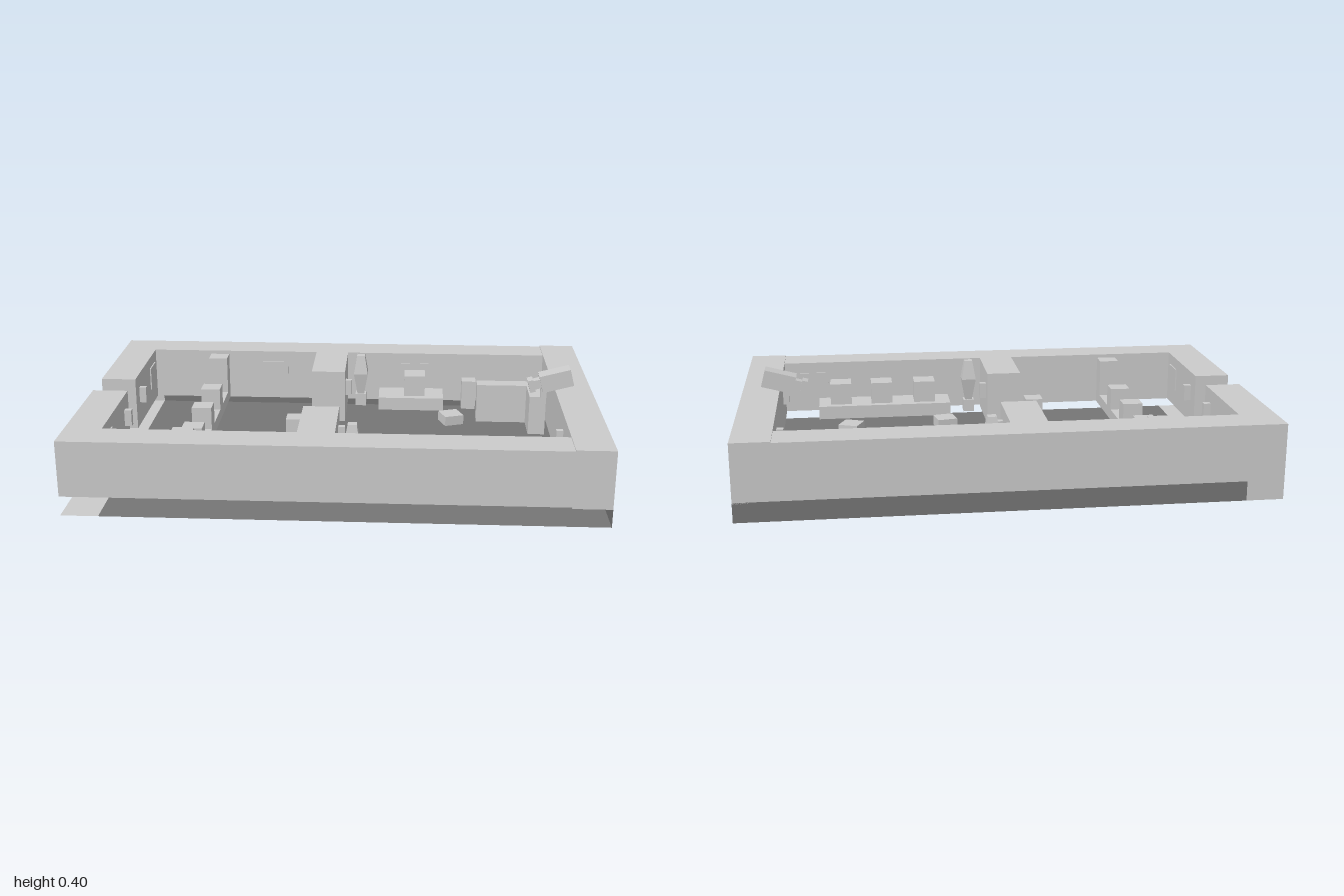
import * as THREE from 'three';

export function createModel() {
  const model = new THREE.Group();
  const grey = new THREE.MeshStandardMaterial({ color: 0xcccccc, flatShading: true, side: THREE.DoubleSide });
  const dark = new THREE.MeshStandardMaterial({ color: 0x767676, flatShading: true, side: THREE.DoubleSide });

  // box given by its two extreme corners
  function block(name, x0, x1, y0, y1, z0, z1, material = grey) {
    const mesh = new THREE.Mesh(new THREE.BoxGeometry(x1 - x0, y1 - y0, z1 - z0), material);
    mesh.position.set((x0 + x1) / 2, (y0 + y1) / 2, (z0 + z1) / 2);
    mesh.name = name;
    model.add(mesh);
    return mesh;
  }

  // thin sheet given by width and height
  function sheet(name, w, h, x, y, z, rx, ry, material) {
    const mesh = new THREE.Mesh(new THREE.PlaneGeometry(w, h), material);
    mesh.position.set(x, y, z);
    mesh.rotation.set(rx, ry, 0);
    mesh.name = name;
    model.add(mesh);
  }

  // floor, entrance strip and the low skirts on the back and the +x side
  const low = 0.075, top = 0.29;
  sheet('floor', 1.86, 1.28, 0.07, 0, 0, -Math.PI / 2, 0, dark);
  sheet('entranceFloor', 0.14, 1.28, -0.93, 0, 0, -Math.PI / 2, 0, grey);
  sheet('backSkirt', 1.86, low, 0.07, low / 2, -0.64, 0, Math.PI, dark);
  sheet('backSkirtEnd', 0.14, low, -0.93, low / 2, -0.64, 0, Math.PI, grey);
  sheet('sideSkirt', 1.28, low, 1, low / 2, 0, 0, Math.PI / 2, dark);

  // thick outer walls, with a doorway in the -x wall
  block('backWall', -1, 0.855, low, top, -0.64, -0.5);
  block('frontWall', -1, 0.855, low, top, 0.5, 0.64);
  block('sideWall', 0.855, 1, 0.07, 0.294, -0.64, 0.64);
  block('doorWall', -1, -0.86, low, top, -0.5, -0.075);
  block('doorWall', -1, -0.86, low, top, 0.07, 0.5);

  // dividing piers
  block('pier', -0.14, 0, 0.07, top, -0.5, -0.22);
  block('pier', -0.14, 0, 0.07, top, 0.215, 0.5);

  // low partition with raised blocks and tall end posts
  block('partition', -0.61, -0.53, low, 0.12, -0.43, 0.43);
  for (const z of [-0.235, 0, 0.235]) block('partitionBlock', -0.61, -0.53, low, 0.21, z - 0.037, z + 0.037);
  for (const s of [-1, 1]) block('partitionPost', -0.61, -0.53, low, 0.275, s * 0.465 - 0.035, s * 0.465 + 0.035);

  // benches with boxes on top
  block('backBench', 0.14, 0.42, low, 0.13, -0.5, -0.36);
  block('benchBox', 0.25, 0.34, 0.13, 0.22, -0.48, -0.39);
  block('frontBench', 0.145, 0.71, low, 0.13, 0.355, 0.5);
  for (const x of [0.255, 0.44, 0.615]) block('benchBox', x - 0.045, x + 0.045, 0.13, 0.22, 0.385, 0.475);

  // corner counter in an L
  block('cornerCounter', 0.57, 0.855, 0, 0.17, -0.5, -0.435);
  block('cornerCounter', 0.785, 0.855, 0, 0.17, -0.435, -0.29);

  // standing posts
  block('post', 0.5, 0.56, low, 0.2, -0.45, -0.39);
  block('tallStand', -0.215, -0.145, low, 0.21, 0.08, 0.15);

  // loose cushions on the floor, each turned a little
  for (const [x, z, turn] of [[0.45, -0.235, 0.35], [0.18, 0.21, 0.2], [0.575, 0.17, -0.4]]) {
    block('cushion', x - 0.041, x + 0.041, 0.07, 0.11, z - 0.041, z + 0.041).rotation.y = turn;
  }

  // floor lamps: a square foot under a faceted shade
  const shade = new THREE.LatheGeometry(
    [[0, 0.125], [0.02, 0.125], [0.043, 0.22], [0.024, 0.3], [0, 0.3]].map(p => new THREE.Vector2(...p)), 4);
  shade.rotateY(Math.PI / 4);
  for (const z of [-0.435, 0.425]) {
    block('lampFoot', 0.037, 0.083, low, 0.127, z - 0.023, z + 0.023);
    const lamp = new THREE.Mesh(shade, grey);
    lamp.position.set(0.06, 0, z);
    lamp.name = 'lampShade';
    model.add(lamp);
  }

  // small wall lights
  for (const [x, z] of [[0.012, -0.285], [0.012, 0.28], [-0.845, -0.145], [-0.845, 0.14], [0.843, -0.29], [0.843, 0.28]]) {
    block('wallLight', x - 0.014, x + 0.014, 0.17, 0.235, z - 0.012, z + 0.012);
  }

  // thin panels hung on the walls
  for (const x of [-0.325, 0.295]) block('wallPanel', x - 0.06, x + 0.06, 0.15, 0.245, -0.5, -0.495);
  block('wallPanel', 0.67, 0.79, 0.15, 0.245, 0.495, 0.5);
  for (const z of [-0.41, 0.41]) block('wallPanel', -0.86, -0.855, 0.15, 0.245, z - 0.05, z + 0.05);

  // tilted camera on the +x wall, looking down into the room
  const camera = new THREE.Group();
  camera.name = 'wallCamera';
  for (const [name, x, len, size] of [['cameraBody', 0, 0.125, 0.068], ['cameraNeck', -0.075, 0.03, 0.036], ['cameraLens', -0.1, 0.022, 0.05]]) {
    const part = new THREE.Mesh(new THREE.BoxGeometry(len, size, size), grey);
    part.position.x = x;
    part.name = name;
    camera.add(part);
  }
  camera.position.set(0.853, 0.347, 0);
  camera.rotation.z = 0.26;
  model.add(camera);

  return model;
}
